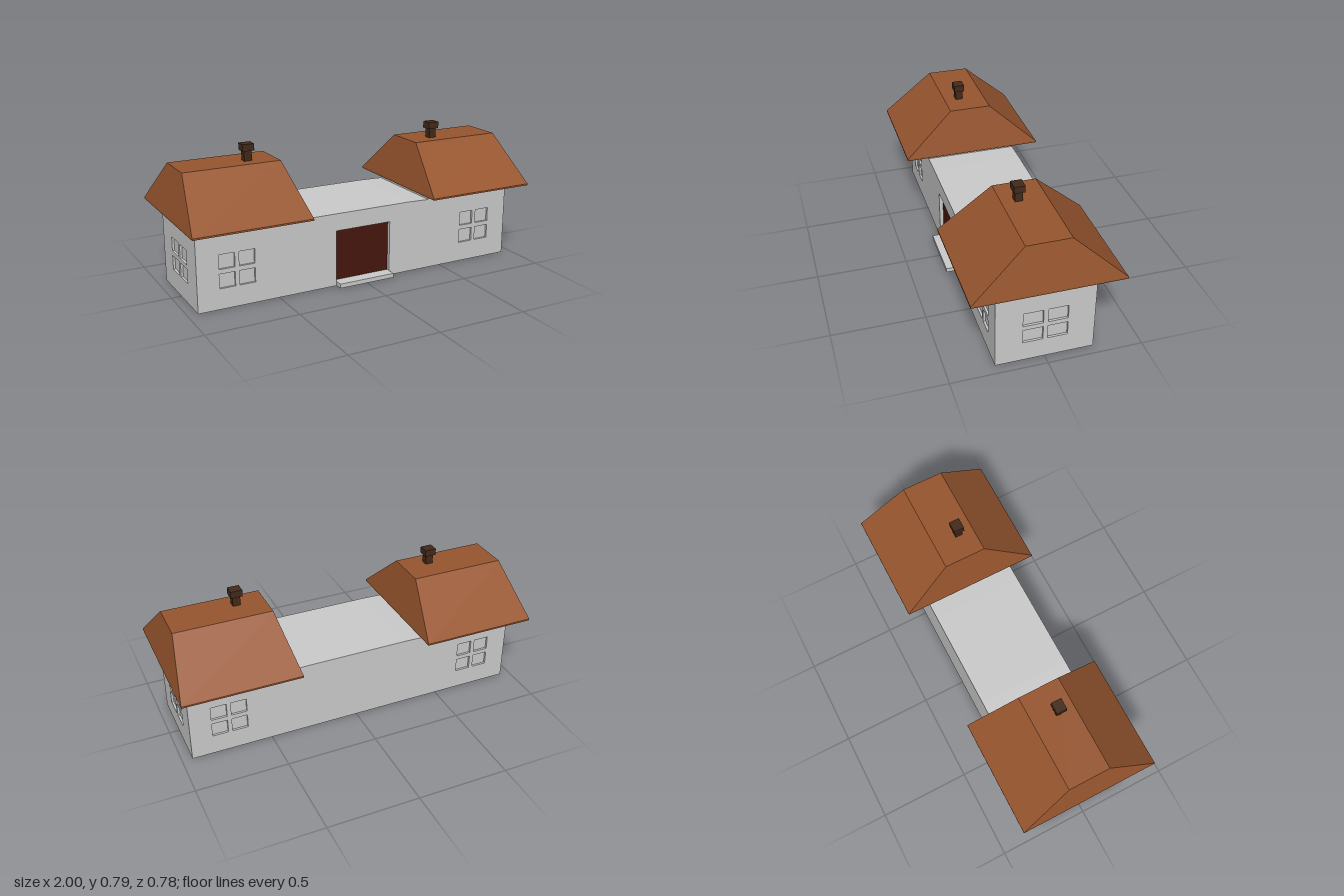
import * as THREE from 'three';

const W = 0.945, D = 0.257, H = 0.43;   // half width, half depth, wing height
const T = 0.025, RECESS = 0.012;        // wall thickness, window recess
const PANE_Y = [0.151, 0.254], PANE_H = 0.078;

const material = (color) => new THREE.MeshStandardMaterial({ color, flatShading: true });

function rectPath(cx, cy, w, h) {
  const p = new THREE.Path();
  p.moveTo(cx - w / 2, cy - h / 2);
  p.lineTo(cx - w / 2, cy + h / 2);
  p.lineTo(cx + w / 2, cy + h / 2);
  p.lineTo(cx + w / 2, cy - h / 2);
  p.closePath();
  return p;
}

// Long elevation: two taller wings joined by a lower middle
function elevation(w) {
  const half = [[w, 0], [w, H], [0.412, H], [0.412, 0.402], [0.28, 0.406]];
  const mirrored = half.map(([x, y]) => [-x, y]).reverse();
  return new THREE.Shape([...half, ...mirrored].map(([x, y]) => new THREE.Vector2(x, y)));
}

const extrude = (shape, depth) => new THREE.ExtrudeGeometry(shape, { depth, bevelEnabled: false });

// Solid between stacked rectangular rings [halfX, halfZ, y], bottom to top
function stackedRings(rings) {
  const corners = rings.map(([x, z, y]) => [[-x, y, -z], [-x, y, z], [x, y, z], [x, y, -z]]);
  const pos = [];
  const quad = (a, b, c, d) => pos.push(...a, ...b, ...c, ...a, ...c, ...d);
  for (let i = 0; i < corners.length - 1; i++) {
    const lo = corners[i], hi = corners[i + 1];
    for (let k = 0; k < 4; k++) {
      const n = (k + 1) % 4;
      quad(lo[k], lo[n], hi[n], hi[k]);
    }
  }
  const top = corners[corners.length - 1], base = corners[0];
  quad(top[0], top[1], top[2], top[3]);
  quad(base[3], base[2], base[1], base[0]);
  const g = new THREE.BufferGeometry();
  g.setAttribute('position', new THREE.Float32BufferAttribute(pos, 3));
  g.computeVertexNormals();
  return g;
}

export function createModel() {
  const model = new THREE.Group();
  model.name = 'house';
  const grey = material(0xcccccc);
  const roofMat = material(0x97552e);
  const chimneyMat = material(0x432a1a);
  const doorMat = material(0x46160e);

  const add = (parent, name, geometry, mat, x = 0, y = 0, z = 0) => {
    const mesh = new THREE.Mesh(geometry, mat);
    mesh.name = name;
    mesh.position.set(x, y, z);
    parent.add(mesh);
    return mesh;
  };

  // Wall with window holes, outer face at z = 0, panes set back inside it
  function wall(name, shape, windowXs, paneW) {
    const group = new THREE.Group();
    group.name = name;
    const paneGeo = new THREE.BoxGeometry(paneW, PANE_H, T - RECESS);
    for (const x of windowXs) for (const y of PANE_Y) {
      shape.holes.push(rectPath(x, y, paneW, PANE_H));
      add(group, 'windowPane', paneGeo, grey, x, y, -(T + RECESS) / 2);
    }
    add(group, 'wallPanel', extrude(shape, T), grey, 0, 0, -T);
    model.add(group);
    return group;
  }

  // Inner block behind the wall panels
  add(model, 'innerBlock', extrude(elevation(W - T), 2 * (D - T)), grey, 0, 0, -(D - T));

  // Front and back walls
  const longXs = [-0.783, -0.674, 0.674, 0.783];
  const frontShape = elevation(W);
  frontShape.holes.push(rectPath(0, 0.168, 0.33, 0.286));
  wall('frontWall', frontShape, longXs, 0.086).position.z = D;
  const back = wall('backWall', elevation(W), longXs, 0.086);
  back.position.z = -D;
  back.rotation.y = Math.PI;

  // Doorway and step
  add(model, 'door', new THREE.BoxGeometry(0.33, 0.286, 0.004), doorMat, 0, 0.168, D - T + 0.002);
  add(model, 'doorStep', new THREE.BoxGeometry(0.33, 0.024, 0.073), grey, 0, 0.014, 0.2685);

  // Each wing: end wall, hipped roof and chimney
  const roofGeo = stackedRings([
    [0.266, D, 0.43], [0.32, 0.39, 0.438], [0.32, 0.39, 0.447], [0.266, 0.116, 0.695],
  ]);
  for (const side of [-1, 1]) {
    const d = D - T;
    const endShape = new THREE.Shape([[-d, 0], [d, 0], [d, H], [-d, H]].map(([x, y]) => new THREE.Vector2(x, y)));
    const end = wall(side > 0 ? 'leftWall' : 'rightWall', endShape, [-0.064, 0.064], 0.104);
    end.position.x = side * W;
    end.rotation.y = side * Math.PI / 2;

    add(model, 'roof', roofGeo, roofMat, side * 0.68);

    const chimney = new THREE.Group();
    chimney.name = 'chimney';
    chimney.position.set(side * 0.568, 0, 0.03);
    add(chimney, 'chimneyStack', new THREE.BoxGeometry(0.042, 0.08, 0.04), chimneyMat, 0, 0.715, 0);
    add(chimney, 'chimneyCap', new THREE.BoxGeometry(0.064, 0.037, 0.058), chimneyMat, 0, 0.767, 0);
    model.add(chimney);
  }
  return model;
}
